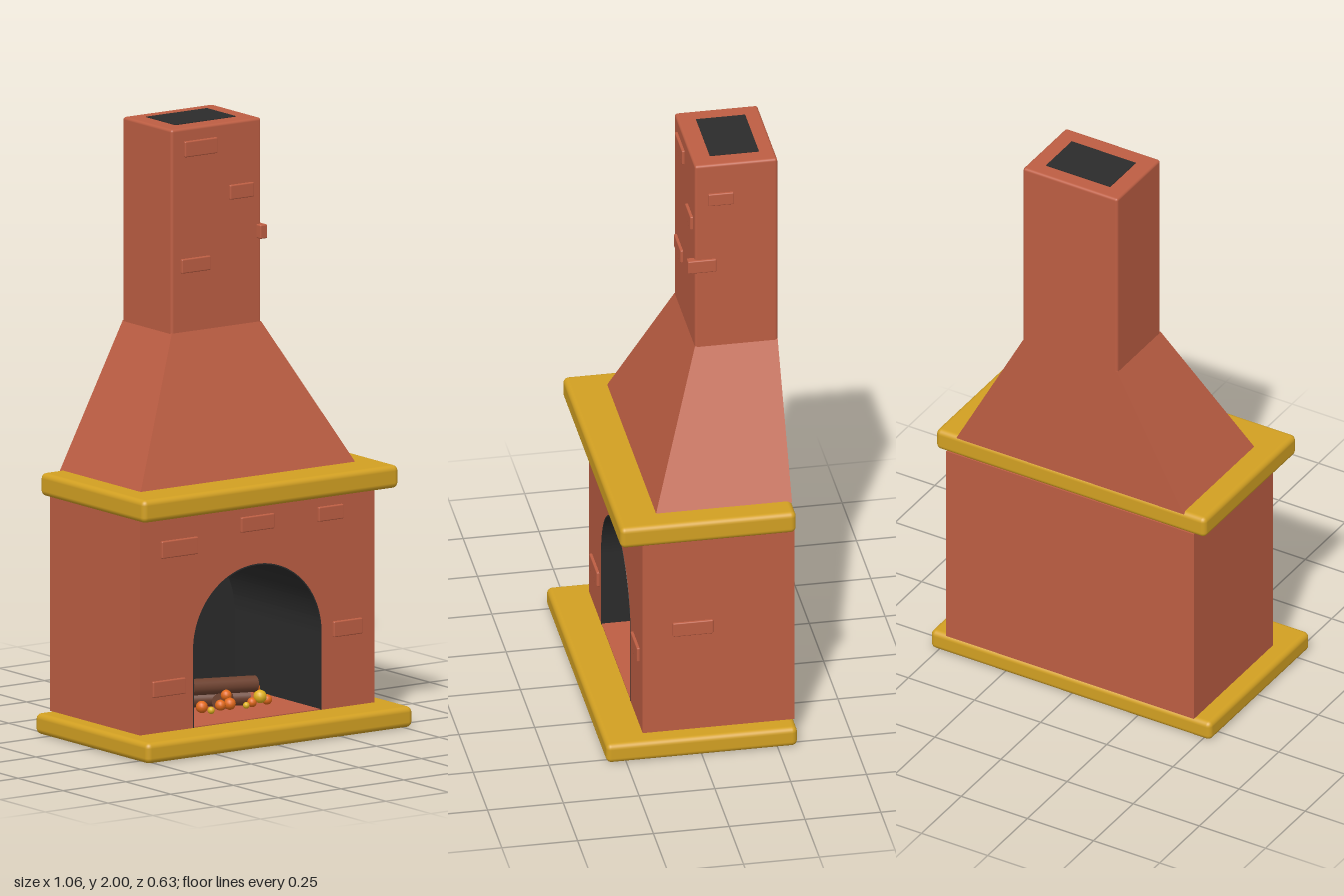
import * as THREE from 'three';
import { RoundedBoxGeometry } from 'three/addons/geometries/RoundedBoxGeometry.js';

const material = (name, color, side = THREE.FrontSide) => {
  const m = new THREE.MeshStandardMaterial({ color, side });
  m.name = name;
  return m;
};

export function createModel() {
  const brick = material('brick', 0xbd5e43);
  const gold = material('goldenStone', 0xd2a022);
  const soot = material('soot', 0x2b2b2b, THREE.DoubleSide);
  const wood = material('wood', 0x6e4230);
  const ember = material('emberOrange', 0xe2691a);
  const flame = material('emberYellow', 0xdfb01e);

  const model = new THREE.Group();
  model.name = 'fireplace';
  const add = (name, geometry, mat, parent = model) => {
    const mesh = new THREE.Mesh(geometry, mat);
    mesh.name = name;
    parent.add(mesh);
    return mesh;
  };
  const group = (name) => {
    const g = new THREE.Group();
    g.name = name;
    model.add(g);
    return g;
  };
  // Box given by its limits, with softly rounded edges when r > 0
  const block = (name, [x0, x1], [y0, y1], [z0, z1], mat, r = 0, parent = model) => {
    const size = [x1 - x0, y1 - y0, z1 - z0];
    const geo = r ? new RoundedBoxGeometry(...size, 3, r) : new THREE.BoxGeometry(...size);
    const mesh = add(name, geo, mat, parent);
    mesh.position.set((x0 + x1) / 2, (y0 + y1) / 2, (z0 + z1) / 2);
    return mesh;
  };

  const BACK = -0.315, FLOOR = 0.068, SPRING = 0.325;

  // Hearth slab and mantel shelf
  block('hearthSlab', [-0.53, 0.53], [0, FLOOR], [BACK, 0.315], gold, 0.018);
  block('mantelShelf', [-0.51, 0.51], [0.785, 0.86], [BACK, 0.265], gold, 0.018);

  // Firebox body with an arched opening
  const body = new THREE.Shape();
  body.moveTo(-0.468, FLOOR);
  body.lineTo(-0.256, FLOOR);
  body.lineTo(-0.256, SPRING);
  body.absarc(0, SPRING, 0.256, Math.PI, 0, true);
  body.lineTo(0.256, FLOOR);
  body.lineTo(0.468, FLOOR);
  body.lineTo(0.468, 0.79);
  body.lineTo(-0.468, 0.79);
  body.closePath();
  const bodyGeo = new THREE.ExtrudeGeometry(body, { depth: 0.485, bevelEnabled: false, curveSegments: 32 });
  add('fireboxBody', bodyGeo, brick).position.z = -0.3;
  block('fireboxBack', [-0.468, 0.468], [FLOOR, 0.79], [BACK, -0.3], brick);

  // Sooty lining: arch ring, back wall, and brick floor
  const liner = new THREE.Shape();
  liner.moveTo(-0.256, FLOOR);
  liner.lineTo(-0.252, FLOOR);
  liner.lineTo(-0.252, SPRING);
  liner.absarc(0, SPRING, 0.252, Math.PI, 0, true);
  liner.lineTo(0.252, FLOOR);
  liner.lineTo(0.256, FLOOR);
  liner.lineTo(0.256, SPRING);
  liner.absarc(0, SPRING, 0.256, 0, Math.PI, false);
  liner.closePath();
  const linerGeo = new THREE.ExtrudeGeometry(liner, { depth: 0.486, bevelEnabled: false, curveSegments: 32 });
  add('fireboxLining', linerGeo, soot).position.z = -0.3;
  block('fireboxBackLining', [-0.256, 0.256], [FLOOR, 0.585], [-0.3, -0.294], soot);
  block('fireboxFloor', [-0.252, 0.252], [FLOOR, FLOOR + 0.003], [-0.294, 0.184], brick);

  // Tapered hood: a box whose upper corners are drawn in
  const hoodGeo = new THREE.BoxGeometry(1, 1, 1);
  const p = hoodGeo.attributes.position;
  for (let i = 0; i < p.count; i++) {
    const top = p.getY(i) > 0;
    p.setXYZ(i,
      Math.sign(p.getX(i)) * (top ? 0.178 : 0.43),
      top ? 1.325 : 0.855,
      p.getZ(i) < 0 ? BACK : (top ? -0.042 : 0.135));
  }
  hoodGeo.computeVertexNormals();
  add('hood', hoodGeo, brick);

  // Chimney stack with a dark flue mouth
  block('chimney', [-0.179, 0.179], [1.31, 1.998], [BACK, -0.042], brick, 0.009);
  block('flueMouth', [-0.121, 0.121], [1.995, 2], [-0.264, -0.102], soot);

  // Raised bricks on the front faces: [x0, x1, y0, y1, wall z]
  const bricks = group('raisedBricks');
  [
    [-0.385, -0.24, 0.643, 0.7, 0.185],
    [-0.068, 0.064, 0.692, 0.742, 0.185],
    [0.24, 0.34, 0.692, 0.74, 0.185],
    [-0.42, -0.29, 0.187, 0.24, 0.185],
    [0.3, 0.415, 0.303, 0.355, 0.185],
    [-0.13, 0, 1.903, 1.955, -0.042],
    [0.05, 0.145, 1.742, 1.79, -0.042],
    [-0.143, -0.028, 1.52, 1.567, -0.042],
  ].forEach(([x0, x1, y0, y1, z]) =>
    block('frontBrick', [x0, x1], [y0, y1], [z - 0.02, z + 0.009], brick, 0.004, bricks));
  // Raised bricks on the left side: [z0, z1, y0, y1, wall x]
  [
    [-0.047, 0.086, 0.42, 0.47, 0.468],
    [-0.17, -0.085, 1.848, 1.892, 0.179],
    [-0.112, -0.018, 1.602, 1.648, 0.179],
  ].forEach(([z0, z1, y0, y1, x]) =>
    block('sideBrick', [x - 0.02, x + 0.008], [y0, y1], [z0, z1], brick, 0.004, bricks));

  // Stacked logs: [from, to, radius]
  const logs = group('logs');
  [
    [[-0.125, 0.155, -0.01], [0.11, 0.145, 0.02], 0.027],
    [[-0.13, 0.1, -0.1], [0.1, 0.1, 0.0], 0.028],
    [[0.13, 0.105, -0.11], [-0.03, 0.1, 0.02], 0.028],
  ].forEach(([a, b, r]) => {
    const from = new THREE.Vector3(...a), to = new THREE.Vector3(...b);
    const dir = to.clone().sub(from);
    const log = add('log', new THREE.CylinderGeometry(r, r, dir.length(), 16), wood, logs);
    log.position.copy(from).add(to).multiplyScalar(0.5);
    log.quaternion.setFromUnitVectors(new THREE.Vector3(0, 1, 0), dir.normalize());
  });

  // Glowing embers: [x, y, z, radius]
  const embers = group('embers');
  const glow = (list, mat) => list.forEach(([x, y, z, r]) =>
    add('ember', new THREE.SphereGeometry(r, 14, 10), mat, embers).position.set(x, y, z));
  glow([
    [-0.175, 0.087, 0.0, 0.016], [-0.15, 0.11, -0.03, 0.016], [-0.11, 0.095, 0.03, 0.02],
    [-0.05, 0.097, 0.05, 0.018], [-0.02, 0.125, 0.04, 0.018], [-0.02, 0.1, 0.06, 0.02],
    [0.09, 0.087, 0.03, 0.016], [0.125, 0.125, 0.0, 0.016], [0.157, 0.087, 0.02, 0.017],
  ], ember);
  glow([[0.115, 0.105, 0.04, 0.022], [-0.08, 0.082, 0.04, 0.012], [0.06, 0.082, 0.04, 0.011]], flame);

  return model;
}
